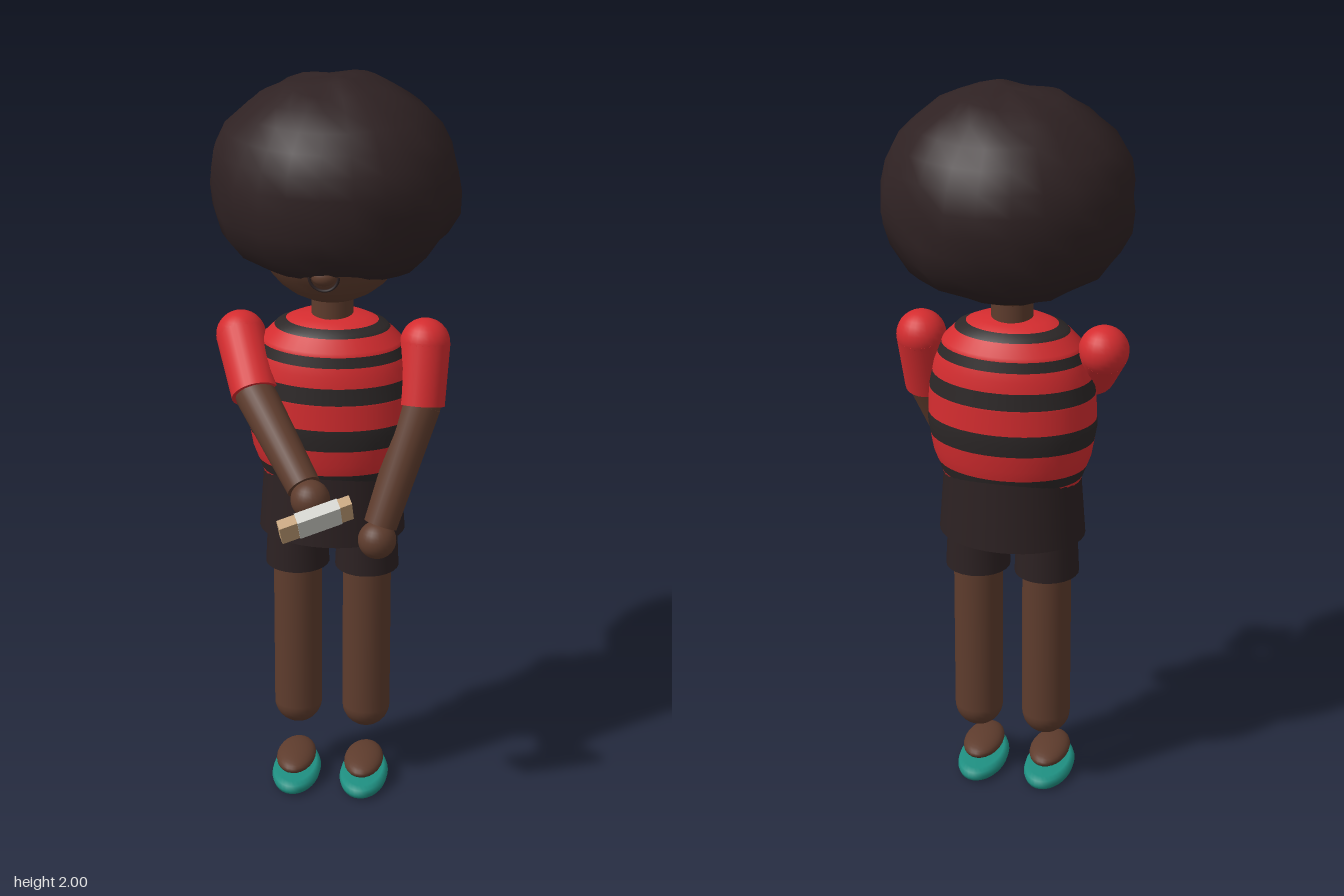
import * as THREE from 'three';
import { mergeVertices } from 'three/addons/utils/BufferGeometryUtils.js';

const mat = (name, color, side = THREE.FrontSide) => {
  const m = new THREE.MeshStandardMaterial({ color, side });
  m.name = name;
  return m;
};
const V = (x, y, z) => new THREE.Vector3(x, y, z);

export function createModel() {
  const root = new THREE.Group();
  const skin = mat('skin brown', 0x5e3c2d);
  const hairMat = mat('hair dark brown', 0x2f2223);
  const red = mat('shirt red', 0xd42c2f, THREE.DoubleSide);
  const black = mat('shirt stripe black', 0x2c2727, THREE.DoubleSide);
  const shortsMat = mat('shorts dark', 0x2c2122);
  const teal = mat('sandal teal', 0x1f9082);
  const tan = mat('book tan', 0xc9a57a);
  const paper = mat('band light grey', 0xd6d6d0);

  const add = (name, geo, material, pos = V(0, 0, 0), parent = root) => {
    const m = new THREE.Mesh(geo, material);
    m.name = name;
    m.position.copy(pos);
    parent.add(m);
    return m;
  };
  // Tapered limb between two points
  const limb = (name, a, b, rA, rB, material) => {
    const d = b.clone().sub(a);
    const m = add(name, new THREE.CylinderGeometry(rB, rA, d.length(), 24), material, a.clone().add(b).multiplyScalar(0.5));
    m.quaternion.setFromUnitVectors(V(0, 1, 0), d.normalize());
    return m;
  };
  const ball = (name, p, r, material, sx = 1, sy = 1, sz = 1) => {
    const m = add(name, new THREE.SphereGeometry(r, 24, 16), material, p);
    m.scale.set(sx, sy, sz);
    return m;
  };

  // Head and face
  ball('head', V(0, 1.615, -0.05), 0.2, skin);
  ball('nose', V(0, 1.535, 0.128), 0.026, skin, 1.2, 0.9, 0.8);
  const smile = add('mouth', new THREE.TorusGeometry(0.038, 0.004, 6, 16, Math.PI), shortsMat, V(0, 1.535, 0.126));
  smile.rotation.z = Math.PI;
  limb('neck', V(0, 1.34, -0.05), V(0, 1.46, -0.05), 0.055, 0.055, skin);

  // Lumpy round hair, squarer in its lower half
  let hair = new THREE.SphereGeometry(1, 24, 15);
  hair.deleteAttribute('uv');
  hair.deleteAttribute('normal');
  hair = mergeVertices(hair, 1e-4);
  const p = hair.attributes.position;
  for (let i = 0; i < p.count; i++) {
    const x = p.getX(i), y = p.getY(i), z = p.getZ(i);
    const k = y < 0 ? Math.pow(Math.pow(Math.hypot(x, z), 2.4) + Math.pow(-y, 2.4), -1 / 2.4) : 1;
    const lump = 1 + 0.013 * Math.sin(9 * x + 5 * y + 1) + 0.012 * Math.sin(11 * z - 7 * y) + 0.012 * Math.sin(13 * x - 10 * z + 2);
    p.setXYZ(i, x * k * lump * 0.325, y * k * lump * 0.268, z * k * lump * 0.308);
  }
  hair.computeVertexNormals();
  add('hair', hair, hairMat, V(0, 1.73, -0.1));

  // Striped shirt: one smooth profile cut into colour bands
  const profile = [[0.9, 0.172], [0.93, 0.186], [1.0, 0.212], [1.08, 0.226], [1.17, 0.222], [1.25, 0.208], [1.31, 0.184], [1.35, 0.145], [1.372, 0.095], [1.378, 0.05]];
  const radius = (y) => {
    let i = 0;
    while (i < profile.length - 2 && y > profile[i + 1][0]) i++;
    const [a, b] = [profile[i], profile[i + 1]];
    return a[1] + (b[1] - a[1]) * (y - a[0]) / (b[0] - a[0]);
  };
  const cuts = [0.9, 0.94, 0.97, 1.045, 1.105, 1.175, 1.22, 1.273, 1.3, 1.342, 1.36, 1.378];
  const shirt = new THREE.Group();
  shirt.name = 'shirt';
  shirt.position.z = -0.05;
  shirt.scale.z = 0.735;
  root.add(shirt);
  for (let i = 0; i < cuts.length - 1; i++) {
    const ys = [cuts[i], ...profile.map((q) => q[0]).filter((y) => y > cuts[i] + 0.001 && y < cuts[i + 1] - 0.001), cuts[i + 1]];
    const pts = ys.map((y) => new THREE.Vector2(radius(y), y));
    add(i % 2 ? 'blackStripe' : 'redStripe', new THREE.LatheGeometry(pts, 40), i % 2 ? black : red, undefined, shirt);
  }

  // Shorts
  const hips = add('shortsHips', new THREE.CylinderGeometry(0.182, 0.197, 0.205, 36), shortsMat, V(0, 0.8675, -0.05));
  hips.scale.z = 0.79;

  for (const s of [-1, 1]) {
    const x = s * 0.095;
    limb('shortsLeg', V(x, 0.652, -0.05), V(x, 0.8, -0.05), 0.087, 0.08, shortsMat);
    add('leg', new THREE.CapsuleGeometry(0.066, 0.55, 8, 24), skin, V(x, 0.496, -0.05));

    // Foot floating over its sandal
    ball('foot', V(x, 0.067, 0), 0.027, skin, 2, 1, 3.55);
    const rim = [[0, 0], [0.8, 0], [0.95, 0.006], [1, 0.018], [0.95, 0.03], [0.8, 0.036], [0, 0.036]];
    const sole = add('sandalSole', new THREE.LatheGeometry(rim.map((q) => new THREE.Vector2(...q)), 32), teal, V(x, 0, -0.005));
    sole.scale.set(0.067, 1, 0.128);
    limb('sandalPost', V(x, 0.03, 0.03), V(x, 0.05, 0.03), 0.008, 0.008, teal);
  }

  // Arms: shoulder, elbow, wrist, hand
  const arms = [
    ['left', V(0.245, 1.302, -0.05), V(0.24, 1.145, -0.003), V(0.147, 0.84, 0.1), V(0.14, 0.803, 0.117)],
    ['right', V(-0.243, 1.302, -0.05), V(-0.187, 1.185, 0.075), V(-0.035, 1.01, 0.26), V(-0.015, 0.988, 0.285)],
  ];
  for (const [side, shoulder, elbow, wrist, hand] of arms) {
    ball(side + 'Shoulder', shoulder, 0.066, red);
    limb(side + 'Sleeve', shoulder, elbow, 0.066, 0.063, red);
    ball(side + 'Elbow', elbow, 0.053, skin);
    limb(side + 'Forearm', elbow, wrist, 0.054, 0.045, skin);
    ball(side + 'Hand', hand, 0.051, skin);
  }

  // Book tilted towards the face, wrapped by a light band
  const book = new THREE.Group();
  book.name = 'book';
  const along = V(0.91, 0.28, -0.31).normalize();
  const out = V(0.42, -0.69, 0.59);
  out.addScaledVector(along, -out.dot(along)).normalize();
  const up = out.clone().cross(along);
  book.quaternion.setFromRotationMatrix(new THREE.Matrix4().makeBasis(along, up, out));
  book.position.set(0.003, 0.948, 0.322);
  root.add(book);
  add('bookBlock', new THREE.BoxGeometry(0.195, 0.13, 0.025), tan, undefined, book);
  add('bookBand', new THREE.BoxGeometry(0.115, 0.134, 0.029), paper, V(0.008, 0, 0), book);

  return root;
}
